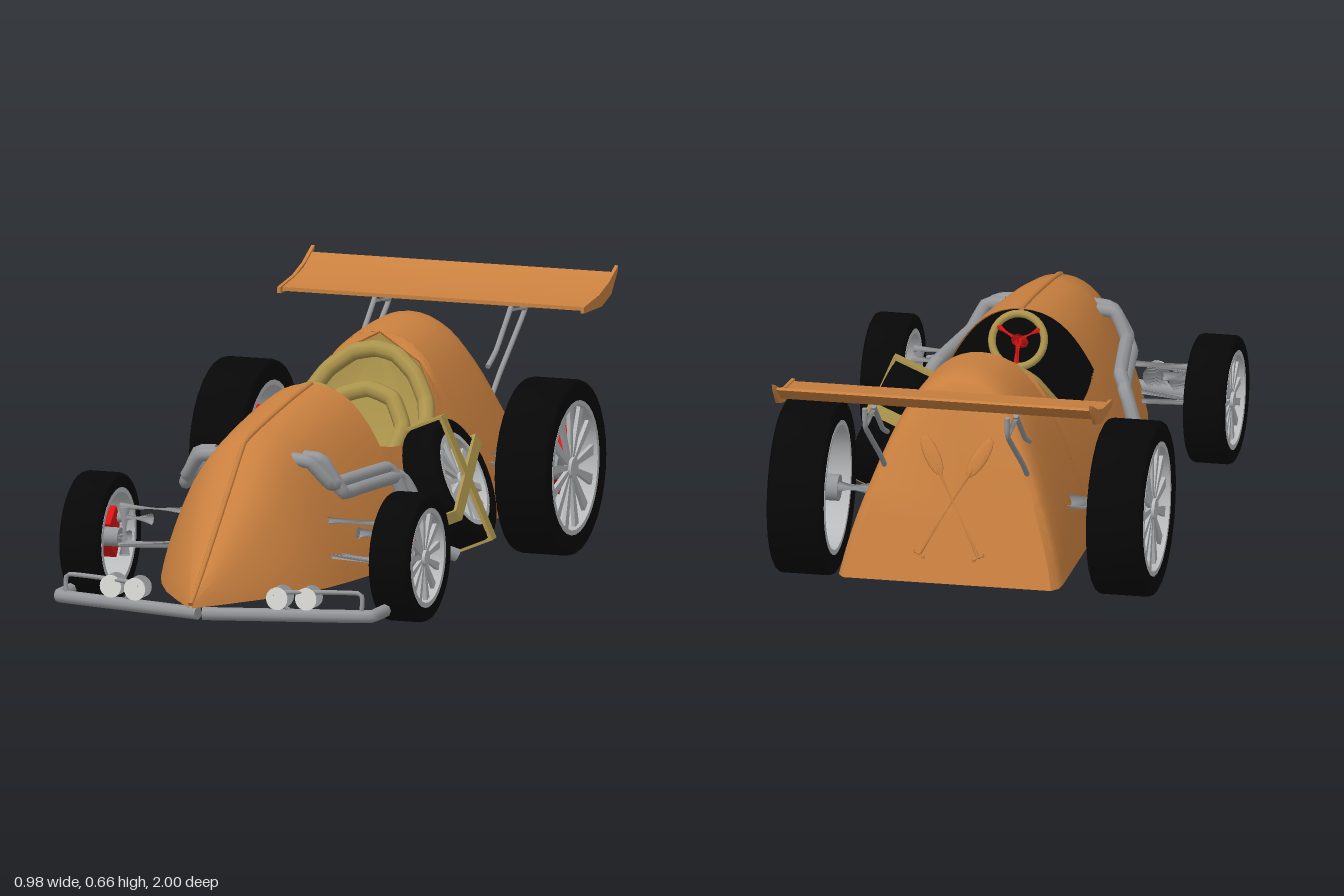
import * as THREE from 'three';
import { toCreasedNormals } from 'three/addons/utils/BufferGeometryUtils.js';

const mat = (name, color, side = THREE.FrontSide) => {
  const m = new THREE.MeshStandardMaterial({ color, side });
  m.name = name;
  return m;
};
const V = (x, y, z) => new THREE.Vector3(x, y, z);

// Surface through a list of equally long rows of points
function loft(rows, crease = 0.6) {
  const n = rows[0].length, index = [];
  for (let i = 0; i < rows.length - 1; i++)
    for (let j = 0; j < n - 1; j++) {
      const a = i * n + j, b = a + n;
      index.push(a, a + 1, b, b, a + 1, b + 1);
    }
  const g = new THREE.BufferGeometry().setFromPoints(rows.flat());
  g.setIndex(index);
  return toCreasedNormals(g, crease);
}

export function createModel() {
  const car = new THREE.Group();
  car.name = 'racingCar';
  const orange = mat('orangePaint', 0xc9803f, THREE.DoubleSide);
  const gold = mat('goldLeather', 0xac944c, THREE.DoubleSide);
  const grey = mat('greySteel', 0x95979a);
  const silver = mat('silverRim', 0xb8babc, THREE.DoubleSide);
  const black = mat('blackRubber', 0x070707, THREE.DoubleSide);
  const red = mat('redBrake', 0xd81414);
  const white = mat('lampWhite', 0xe2e2de);

  const add = (name, geo, m, parent = car) => {
    const mesh = new THREE.Mesh(geo, m);
    mesh.name = name;
    parent.add(mesh);
    return mesh;
  };
  const tube = (name, pts, r, m = grey, parent = car, seg = 8) => {
    const c = new THREE.CatmullRomCurve3(pts.map(p => V(...p)), false, 'catmullrom', 0.2);
    const mesh = add(name, new THREE.TubeGeometry(c, pts.length > 2 ? pts.length * 7 : 1, r, seg), m, parent);
    for (const i of [0, 1]) {
      const cap = add(name + 'End', new THREE.CircleGeometry(r, seg), m, mesh);
      cap.position.copy(c.getPoint(i));
      cap.lookAt(c.getPoint(i).addScaledVector(c.getTangent(i), i ? 1 : -1));
    }
    return mesh;
  };

  // Body: arched cross-sections [z, half width, top, backward slant], with leaning flanks
  const Y0 = 0.09;
  const point = ([z, w, h, s = 0], a) => {
    const c = Math.cos(a), v = Math.sin(a), y = Y0 + (h - Y0) * v;
    return V(w * c * (1 - 0.3 * v * Math.abs(c)), y, z + s * (y - Y0));
  };
  const arch = (row, a0 = 0, a1 = Math.PI, n = 32) =>
    Array.from({ length: n + 1 }, (_, i) => point(row, a0 + (a1 - a0) * i / n));

  const nose = [[1, 0.004, 0.1], [0.95, 0.04, 0.14], [0.9, 0.075, 0.183], [0.8, 0.14, 0.275],
    [0.7, 0.19, 0.367], [0.61, 0.226, 0.45], [0.5, 0.25, 0.472], [0.37, 0.272, 0.491],
    [0.25, 0.285, 0.507], [0.12, 0.29, 0.52]];
  const tail = [[-0.38, 0.29, 0.57], [-0.46, 0.29, 0.58], [-0.54, 0.29, 0.585], [-0.6, 0.29, 0.585],
    [-0.68, 0.29, 0.575, 0.12], [-0.75, 0.29, 0.558, 0.25], [-0.79, 0.286, 0.535, 0.33],
    [-0.812, 0.27, 0.505, 0.37], [-0.812, 0, 0.505, 0.37]];
  add('noseCowl', loft(nose.map(r => arch(r))), orange);
  add('tailCowl', loft(tail.map(r => arch(r))), orange);
  tube('noseRidge', nose.map(r => [0, r[2], r[0]]), 0.007, orange, car, 6);

  // Cockpit stations: [z, virtual top, rim height, floor height]
  const pit = [[0.12, 0.52, 0.37, 0.2], [0.06, 0.524, 0.358, 0.15], [0, 0.527, 0.352, 0.135],
    [-0.07, 0.532, 0.35, 0.13], [-0.14, 0.537, 0.351, 0.14], [-0.21, 0.544, 0.358, 0.18],
    [-0.27, 0.552, 0.385, 0.25], [-0.31, 0.558, 0.44, 0.34], [-0.345, 0.564, 0.505, 0.43],
    [-0.38, 0.57, 0.57, 0.55]];
  const cut = ([, h, y]) => Math.asin(Math.min(1, (y - Y0) / (h - Y0)));
  for (const side of [1, -1])
    add('cockpitSide', loft(pit.map(p => {
      const row = arch([p[0], 0.29, p[1]], 0, cut(p), 14);
      row.forEach(v => { v.x *= side; });
      return side > 0 ? row : row.reverse();
    })), orange);

  // Seat tub with a painted footwell and outer shell
  const tub = (stations, drop) => loft(stations.map(p => Array.from({ length: 21 }, (_, j) => {
    const [z, h, y, f] = p, b = Math.PI * j / 20, c = Math.cos(b);
    const w = point([z, 0.29, h], cut(p)).x - 0.003;
    return V(w * Math.sign(c) * Math.abs(c) ** 0.7, y - 0.003 - (y - f + drop) * Math.sin(b), z);
  })), 1);
  add('seatTub', tub(pit.slice(2), 0), gold);
  add('footwell', tub(pit.slice(0, 3), 0), orange);
  add('tubShell', tub(pit, 0.02), orange);
  const bothSides = pts => [...pts, ...pts.slice(0, -1).reverse().map(([x, y, z]) => [-x, y, z])];
  tube('seatRoll', bothSides([[0.182, 0.35, -0.17], [0.178, 0.37, -0.24], [0.158, 0.415, -0.29],
    [0.118, 0.475, -0.32], [0.06, 0.518, -0.345], [0, 0.53, -0.352]]), 0.022, gold);
  tube('backCushion', bothSides([[0.1, 0.29, -0.2], [0.11, 0.35, -0.25], [0.07, 0.415, -0.285],
    [0, 0.435, -0.3]]), 0.022, gold);

  // Dashboard closing the cowl
  const dash = new THREE.Shape(arch([0, 0.286, 0.515], 0.28, Math.PI - 0.28).map(v => new THREE.Vector2(v.x, v.y)));
  add('dashboard', new THREE.ShapeGeometry(dash), black).position.z = 0.13;

  // Steering wheel
  const steer = new THREE.Group();
  steer.name = 'steeringWheel';
  steer.position.set(0, 0.45, 0.075);
  steer.rotation.x = 0.4;
  car.add(steer);
  add('steeringRing', new THREE.TorusGeometry(0.068, 0.01, 8, 28), gold, steer);
  for (let i = 0; i < 3; i++) {
    const a = Math.PI / 2 + i * Math.PI * 2 / 3;
    tube('steeringSpoke', [[0, 0, 0], [0.064 * Math.cos(a), -0.064 * Math.sin(a), 0]], 0.009, red, steer);
  }
  tube('steeringColumn', [[0, 0, -0.012], [0, 0, 0.06]], 0.016, red, steer);

  // Wheels: local +x points outwards
  function wheel(name, R, W, rimR, spokes, brakeSide) {
    const g = new THREE.Group();
    g.name = name;
    car.add(g);
    const h = W / 2, c = 0.014, r = rimR;
    const lathe = pts => new THREE.LatheGeometry(pts.map(p => new THREE.Vector2(...p)), 32).rotateZ(-Math.PI / 2);
    const tyre = lathe([[r, -h + 0.006], [R - c, -h], [R - 0.004, -h + 0.005], [R, -h + c],
      [R, h - c], [R - 0.004, h - 0.005], [R - c, h], [r, h - 0.006]]);
    add('tyre', toCreasedNormals(tyre, 0.7), black, g);
    add('rim', toCreasedNormals(lathe([[r + 0.003, h - 0.004], [r - 0.01, h - 0.004], [r - 0.01, -h + 0.004],
      [r + 0.003, -h + 0.004]]), 0.7), silver, g);
    // Spokes widening towards the rim
    const fan = new THREE.Shape([[-0.03, 0.05], [0.03, 0.05], [0.08, 0.95], [-0.08, 0.95]]
      .map(([x, y]) => new THREE.Vector2(x * r, y * r)));
    for (let i = 0; i < spokes; i++) {
      const s = new THREE.ExtrudeGeometry(fan, { depth: 0.01, bevelEnabled: false });
      s.rotateY(Math.PI / 2).rotateX(i * Math.PI * 2 / spokes);
      add('spoke', s.translate(h - 0.025, 0, 0), silver, g);
    }
    const drum = (n, rad, len, x, m) =>
      add(n, new THREE.CylinderGeometry(rad, rad, len, 16).rotateZ(Math.PI / 2).translate(x, 0, 0), m, g);
    drum('hub', r * 0.16, 0.02, h - 0.017, silver);
    if (brakeSide) {
      drum('innerHub', r * 0.2, W * 0.7, -h * 0.3, grey);
      // Brake caliper facing the rear
      const shape = new THREE.Shape();
      shape.absarc(0, 0, r * 0.78, -0.75, 0.75, false);
      shape.absarc(0, 0, r * 0.3, 0.75, -0.75, true);
      const cal = new THREE.ExtrudeGeometry(shape, { depth: W * 0.3, bevelEnabled: false, curveSegments: 8 });
      cal.translate(0, 0, -W * 0.15).rotateY(brakeSide * Math.PI / 2);
      add('brakeCaliper', cal, red, g);
    }
    return g;
  }
  for (const s of [1, -1]) {
    const rear = wheel('rearWheel', 0.225, 0.146, 0.17, 13, s);
    rear.position.set(s * 0.415, 0.225, -0.51);
    const front = wheel('frontWheel', 0.165, 0.11, 0.125, 13, s);
    front.position.set(s * 0.42, 0.17, 0.53);
    if (s < 0) rear.rotation.y = front.rotation.y = Math.PI;
  }

  // Leaning spare wheel with crossed straps
  const spare = wheel('spareWheel', 0.165, 0.1, 0.122, 13, 0);
  spare.position.set(0.31, 0.25, -0.055);
  spare.rotation.z = 0.4;
  for (const a of [-0.05, 1.1]) {
    const strap = new THREE.Group();
    strap.name = 'spareStrap';
    strap.rotation.x = -a;
    spare.add(strap);
    add('strapBar', new THREE.BoxGeometry(0.009, 0.343, 0.032), gold, strap).position.x = 0.053;
    for (const e of [1, -1])
      add('strapEnd', new THREE.BoxGeometry(0.11, 0.007, 0.032), gold, strap).position.set(0.002, e * 0.168, 0);
  }

  for (const s of [1, -1]) {
    const m = pts => pts.map(([x, y, z]) => [s * x, y, z]);
    // Axles and front suspension
    tube('rearAxle', m([[0.23, 0.23, -0.515], [0.38, 0.23, -0.515]]), 0.024);
    tube('upperArm', m([[0.18, 0.25, 0.53], [0.365, 0.25, 0.53]]), 0.01);
    tube('armBlock', m([[0.28, 0.222, 0.53], [0.37, 0.222, 0.53]]), 0.015);
    tube('lowerArm', m([[0.2, 0.16, 0.5], [0.36, 0.155, 0.53]]), 0.008);
    tube('steeringRod', m([[0.2, 0.165, 0.565], [0.36, 0.155, 0.555]]), 0.006);
    tube('frontAxle', m([[0.34, 0.17, 0.53], [0.42, 0.17, 0.53]]), 0.02);
    tube('upright', m([[0.352, 0.125, 0.535], [0.352, 0.25, 0.535]]), 0.015);

    // Twin exhaust pipes
    for (const k of [0, 1])
      tube('exhaustPipe', m([[0.1, 0.402, 0.53], [0.15, 0.396, 0.53], [0.195, 0.338, 0.5], [0.207, 0.335, 0.42],
        [0.238, 0.332, 0.21], [0.256, 0.3, 0.185], [0.315, 0.12, 0.14], [0.36, 0.092, 0.11]]
        .map(([x, y, z], i) => [x + 0.018 * k, y - (i > 1 && i < 6 ? 0.026 * k : 0), z - 0.038 * k])), 0.018);

    // Front bumper with rail and lamps
    tube('bumper', m([[0.006, 0.065, 0.93], [0.4, 0.065, 0.83], [0.426, 0.065, 0.815], [0.427, 0.065, 0.73]]), 0.017);
    tube('bumperRail', m([[0.225, 0.075, 0.875], [0.185, 0.122, 0.885], [0.395, 0.124, 0.83], [0.4, 0.07, 0.83]]), 0.006);
    for (const x of [0.193, 0.265]) {
      const z = 0.935 - x * 0.25;
      tube('lampHousing', [[s * x, 0.108, z - 0.045], [s * x, 0.108, z]], 0.029, grey, car, 20);
      add('lampGlass', new THREE.CylinderGeometry(0.029, 0.029, 0.004, 20).rotateX(Math.PI / 2), white)
        .position.set(s * x, 0.108, z + 0.002);
    }

    // Wing supports
    tube('wingStrut', m([[0.185, 0.44, -0.67], [0.185, 0.47, -0.73], [0.185, 0.565, -0.84]]), 0.007);
    tube('wingStrut', m([[0.185, 0.36, -0.7], [0.185, 0.41, -0.76], [0.185, 0.54, -0.94], [0.185, 0.595, -0.95]]), 0.007);
    tube('wingBrace', m([[0.185, 0.56, -0.83], [0.185, 0.545, -0.94]]), 0.007);
  }

  // Rear wing and end plates, profile in z and y
  const slab = (name, pts, depth, x) => {
    const shape = new THREE.Shape(pts.map(p => new THREE.Vector2(...p)));
    const g = new THREE.ExtrudeGeometry(shape, { depth, bevelEnabled: false });
    add(name, toCreasedNormals(g.translate(0, 0, -depth / 2).rotateY(-Math.PI / 2), 0.6), orange).position.x = x;
  };
  slab('rearWing', [[-0.765, 0.582], [-0.86, 0.583], [-0.93, 0.6], [-0.985, 0.641], [-0.98, 0.646],
    [-0.92, 0.617], [-0.86, 0.604], [-0.765, 0.592]], 0.82, 0);
  for (const s of [1, -1])
    slab('wingEndPlate', [[-0.75, 0.578], [-0.88, 0.574], [-0.95, 0.594], [-0.995, 0.645], [-1, 0.66],
      [-0.93, 0.627], [-0.86, 0.607], [-0.75, 0.594]], 0.009, s * 0.412);

  // Crossed oars on the tail
  const oars = new THREE.Group();
  oars.name = 'crossedOars';
  oars.position.set(0, 0.29, -0.742);
  oars.rotation.x = 0.354;
  car.add(oars);
  for (const s of [1, -1]) {
    const oar = new THREE.Group();
    oar.name = 'oar';
    oar.rotation.z = s * 0.5;
    oars.add(oar);
    tube('oarShaft', [[0, -0.16, 0], [0, 0.1, 0]], 0.005, orange, oar, 6);
    tube('oarGrip', [[-0.014, -0.16, 0], [0.014, -0.16, 0]], 0.005, orange, oar, 6);
    add('oarBlade', new THREE.SphereGeometry(1, 12, 8).scale(0.02, 0.058, 0.005), orange, oar).position.y = 0.13;
  }
  return car;
}
